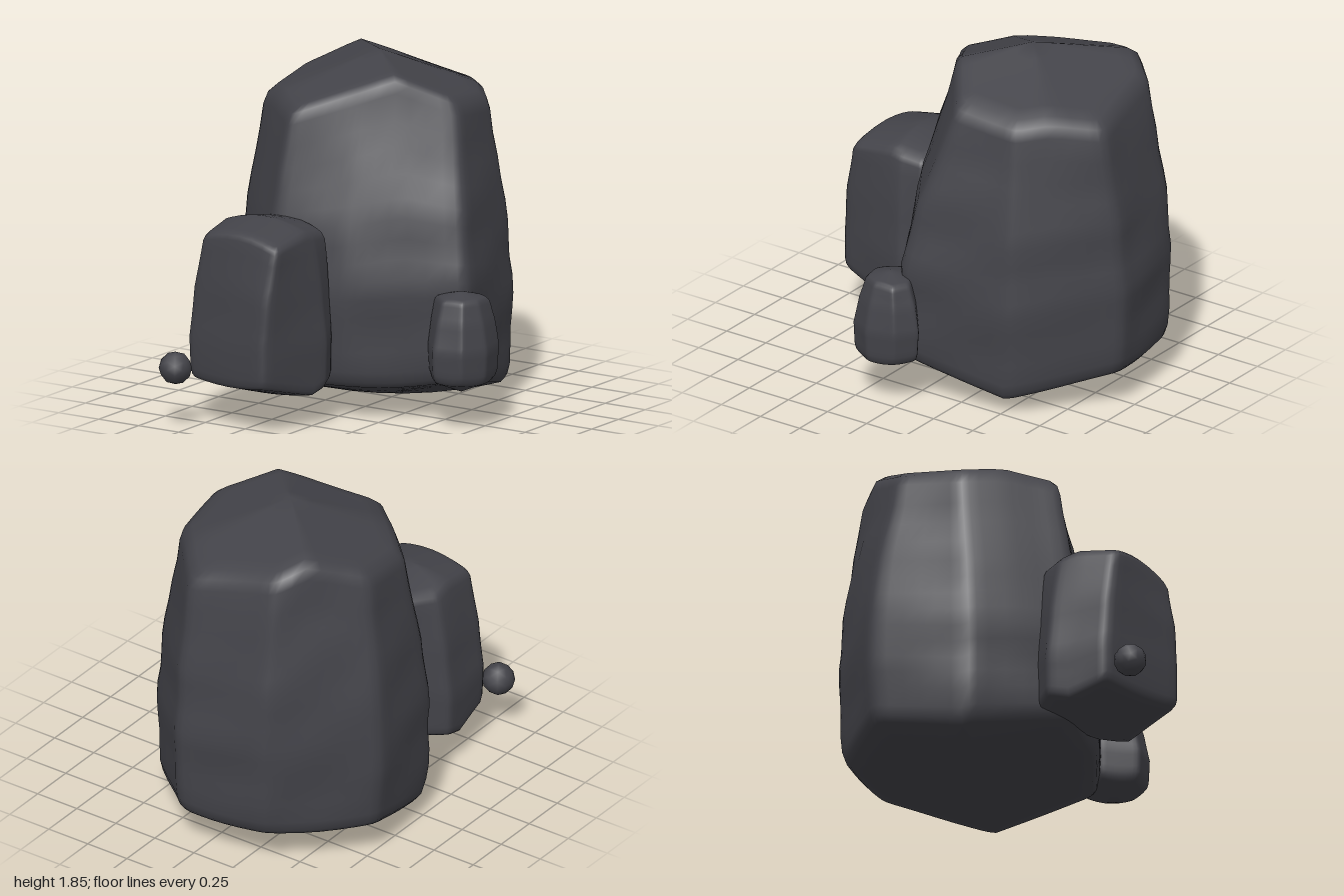
import * as THREE from 'three';
import { mergeVertices } from 'three/addons/utils/BufferGeometryUtils.js';

const stone = new THREE.MeshStandardMaterial({ color: 0x434349, roughness: 0.9 });

// Replaces every corner of an [x, z] outline by a small soft bevel and splits the long edges
function soften(corners) {
  const out = [];
  const n = corners.length;
  const mix = (a, b, t) => [a[0] + (b[0] - a[0]) * t, a[1] + (b[1] - a[1]) * t];
  corners.forEach((p, i) => {
    const prev = corners[(i + n - 1) % n], next = corners[(i + 1) % n];
    const a = mix(p, prev, 0.08), b = mix(p, next, 0.08);
    out.push(mix(p, prev, 0.18), a, mix(mix(a, b, 0.5), p, 0.5), b, mix(p, next, 0.18),
      mix(p, next, 0.34), mix(p, next, 0.5), mix(p, next, 0.66));
  });
  return out;
}

// Rings of the two end caps, from the centre to the rim
const capScales = [0, 0.2, 0.4, 0.6, 0.75];

// Lofts a rock whose walls run between an underside and a roof surface.
// Each wall level is [height fraction, scale, blend from base to top outline].
function rock({ name, base, top, center, walls, underside, roof, bump }) {
  const [cx, cz] = center;
  const lower = soften(base), upper = soften(top);
  const n = lower.length;
  const pos = [], index = [];
  const rings = capScales.map((s) => [0, s, 0]);
  walls.forEach((l, j) => {
    rings.push(l);
    const m = walls[j + 1];
    if (!m) return;
    // Extra rings between the levels carry the worn, wavy surface
    const steps = Math.ceil((m[0] - l[0]) / 0.08);
    for (let k = 1; k < steps; k++) rings.push(l.map((v, q) => v + (m[q] - v) * k / steps));
  });
  [...capScales].reverse().forEach((s) => rings.push([1, s, 1]));

  rings.forEach(([v, s, t]) => {
    for (let i = 0; i < n; i++) {
      const dx = (lower[i][0] + (upper[i][0] - lower[i][0]) * t - cx) * s;
      const dz = (lower[i][1] + (upper[i][1] - lower[i][1]) * t - cz) * s;
      const y0 = underside(dx, dz);
      const y = y0 + (roof(dx, dz) - y0) * v;
      const wave = 1 + bump * (Math.sin(9 * dx + 7 * y) * Math.cos(8 * dz - 5 * y) + 0.6 * Math.sin(17 * y + 6 * dz));
      pos.push(cx + dx * wave, y, cz + dz * wave);
    }
  });
  for (let j = 0; j < rings.length - 1; j++) {
    for (let i = 0; i < n; i++) {
      const a = j * n + i, b = j * n + (i + 1) % n, c = a + n, d = b + n;
      if (rings[j][1] > 0) index.push(a, c, b);
      if (rings[j + 1][1] > 0) index.push(b, c, d);
    }
  }
  let geo = new THREE.BufferGeometry();
  geo.setAttribute('position', new THREE.Float32BufferAttribute(pos, 3));
  geo.setIndex(index);
  geo = mergeVertices(geo, 1e-5);
  geo.computeVertexNormals();
  const mesh = new THREE.Mesh(geo, stone);
  mesh.name = name;
  return mesh;
}

export function createModel() {
  const group = new THREE.Group();
  group.name = 'rockCluster';

  // Large boulder: diagonal roof ridge, keel-like underside running the other way
  group.add(rock({
    name: 'mainBoulder',
    base: [[0.66, 0.03], [0.1, 0.34], [-0.32, 0.45], [-0.77, 0.05], [-0.85, -0.51], [-0.41, -0.95], [0.11, -1.01], [0.54, -0.59]],
    top: [[0.47, -0.17], [0.06, 0.11], [-0.28, 0.32], [-0.68, -0.05], [-0.71, -0.42], [-0.39, -0.82], [0.11, -0.9], [0.43, -0.54]],
    center: [-0.1, -0.28],
    walls: [[0, 0.92, 0], [0.015, 0.955, 0], [0.05, 0.975, 0], [0.12, 0.985, 0], [0.37, 1, 0], [0.64, 1, 0.33],
      [0.87, 1, 0.85], [0.95, 1, 1], [0.985, 0.96, 1], [1, 0.88, 1]],
    underside: (x, z) => 0.3 * Math.abs(0.38 * x + 0.92 * z) + 0.22 * (0.92 * x - 0.38 * z) ** 2,
    roof: (x, z) => 1.85 - 0.27 * Math.abs(x - z) - 0.1 * Math.abs(x + z),
    bump: 0.009,
  }));

  // Medium rock leaning on the front
  group.add(rock({
    name: 'frontRock',
    base: [[0.07, 0.47], [-0.04, 0.9], [-0.59, 0.78], [-0.62, 0.43], [-0.46, 0.28], [0.03, 0.36]],
    top: [[0.01, 0.5], [-0.01, 0.82], [-0.5, 0.78], [-0.53, 0.45], [-0.43, 0.3], [-0.01, 0.36]],
    center: [-0.27, 0.55],
    walls: [[0, 0.94, 0], [0.02, 0.975, 0], [0.06, 0.99, 0], [0.3, 1, 0], [0.65, 1, 0.35],
      [0.96, 1, 0.95], [0.985, 0.97, 1], [1, 0.9, 1]],
    underside: (x, z) => 0.15 + 0.3 * Math.abs(z) + 0.3 * x * x,
    roof: (x, z) => 1.1 - 0.2 * Math.abs(z) - 0.8 * x * x,
    bump: 0.007,
  }));

  // Small rock at the left side
  group.add(rock({
    name: 'sideRock',
    base: [[0.84, 0.12], [0.77, 0.25], [0.61, 0.28], [0.47, 0.12], [0.55, -0.01], [0.7, -0.12], [0.81, -0.04]],
    top: [[0.79, 0.11], [0.74, 0.2], [0.62, 0.22], [0.5, 0.11], [0.56, 0.01], [0.69, -0.06], [0.78, -0.01]],
    center: [0.66, 0.09],
    walls: [[0, 0.85, 0], [0.03, 0.93, 0], [0.09, 0.97, 0], [0.4, 1, 0], [0.75, 1, 0.5],
      [0.94, 1, 1], [0.98, 0.95, 1], [1, 0.86, 1]],
    underside: (x, z) => 0.19 + 0.42 * Math.hypot(x, z),
    roof: (x, z) => 0.73 - 0.28 * Math.hypot(x, z),
    bump: 0.012,
  }));

  // Loose pebble in front
  const ball = new THREE.IcosahedronGeometry(0.087, 1).deleteAttribute('uv').deleteAttribute('normal');
  const pebble = new THREE.Mesh(mergeVertices(ball), stone);
  pebble.geometry.computeVertexNormals();
  pebble.name = 'pebble';
  pebble.position.set(-0.58, 0.315, 0.91);
  group.add(pebble);

  return group;
}
